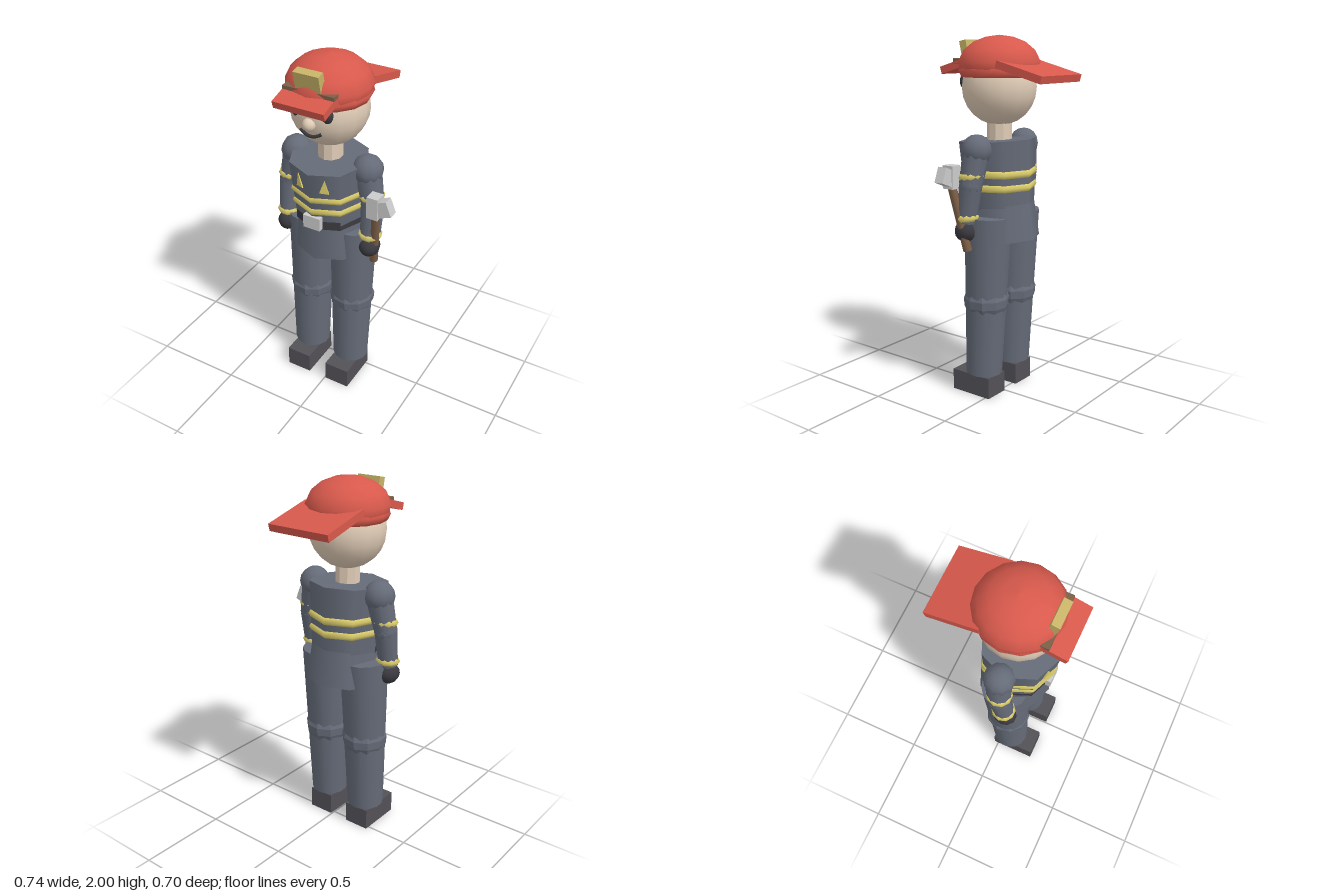
import * as THREE from 'three';

const material = (color, flatShading = false) =>
  new THREE.MeshStandardMaterial({ color, flatShading });
const slate = material(0x656b78), slateFlat = material(0x656b78, true);
const dark = material(0x3a3a40, true), glove = material(0x3a3a40), boot = material(0x535157);
const yellow = material(0xdccd6c), red = material(0xd8594c), skin = material(0xe0ccb6);
const skinFlat = material(0xe0ccb6, true), brown = material(0x7d6048), silver = material(0xc4c4c8);
const badgeColor = material(0xc8b468);

const CX = -0.05; // body centre line
const CZ = 0.05;

export function createModel() {
  const group = new THREE.Group();

  const add = (name, geometry, mat, x, y, z) => {
    const mesh = new THREE.Mesh(geometry, mat);
    mesh.name = name;
    mesh.position.set(x, y, z);
    group.add(mesh);
    return mesh;
  };
  const box = (name, w, h, d, mat, x, y, z) =>
    add(name, new THREE.BoxGeometry(w, h, d), mat, x, y, z);
  const ball = (name, r, mat, x, y, z, w = 12, h = 10) =>
    add(name, new THREE.SphereGeometry(r, w, h), mat, x, y, z);
  const drum = (name, top, bottom, h, sides, mat, x, y, z) =>
    add(name, new THREE.CylinderGeometry(top, bottom, h, sides), mat, x, y, z);
  // tapered limb between two points
  const limb = (name, a, b, ra, rb, sides, mat) => {
    const from = new THREE.Vector3(...a), to = new THREE.Vector3(...b);
    const dir = from.clone().sub(to);
    const mid = from.clone().add(to).multiplyScalar(0.5);
    const mesh = drum(name, ra, rb, dir.length(), sides, mat, mid.x, mid.y, mid.z);
    mesh.quaternion.setFromUnitVectors(new THREE.Vector3(0, 1, 0), dir.normalize());
    return mesh;
  };

  // head and face
  ball('head', 0.205, skin, CX, 1.725, CZ, 16, 12);
  ball('nose', 0.035, skin, CX, 1.70, 0.25);
  for (const side of [-1, 1]) {
    ball('eye', 0.036, glove, CX + side * 0.085, 1.755, 0.222).scale.set(0.92, 1.15, 0.7);
  }
  const smile = new THREE.QuadraticBezierCurve3(
    new THREE.Vector3(CX - 0.06, 1.655, 0.232),
    new THREE.Vector3(CX, 1.612, 0.252),
    new THREE.Vector3(CX + 0.06, 1.655, 0.232));
  add('mouth', new THREE.TubeGeometry(smile, 8, 0.009, 5), glove, 0, 0, 0);
  drum('neck', 0.068, 0.068, 0.14, 10, skinFlat, CX, 1.48, CZ);

  // helmet: dome, uneven rim, sloping brims, badge
  const domeProfile = [
    [0, 1.785], [0.2, 1.785], [0.215, 1.815], [0.224, 1.86], [0.195, 1.92],
    [0.14, 1.965], [0.075, 1.99], [0, 2.0],
  ].map(([r, y]) => new THREE.Vector2(r, y));
  add('helmetDome', new THREE.LatheGeometry(domeProfile, 16), red, CX, 0, CZ);
  const rim = add('helmetRim', new THREE.TorusGeometry(0.19, 0.033, 6, 14), red, CX, 1.813, CZ);
  rim.rotation.x = Math.PI / 2;
  rim.scale.z = 1.15;
  box('rearBrim', 0.376, 0.04, 0.29, red, CX, 1.814, -0.205).rotation.x = -0.26;
  box('frontBrim', 0.287, 0.04, 0.17, red, CX, 1.835, 0.262).rotation.x = 0.28;
  box('badgeBase', 0.287, 0.03, 0.06, brown, CX, 1.862, 0.226);
  box('badge', 0.142, 0.11, 0.045, badgeColor, CX, 1.918, 0.238).rotation.x = 0.22;

  // jacket
  drum('torso', 0.213, 0.19, 0.36, 8, slate, CX, 1.262, 0.054).rotation.x = 0.06;
  drum('jacketSkirt', 0.185, 0.208, 0.22, 8, slate, CX, 1.005, 0.035).rotation.x = 0.06;
  for (const [y, r, z] of [[1.27, 0.208, 0.054], [1.195, 0.203, 0.051]]) {
    const band = add('torsoBand', new THREE.TorusGeometry(r - 0.017, 0.023, 6, 8), yellow, CX, y, z);
    band.rotation.x = Math.PI / 2;
  }
  drum('belt', 0.19, 0.19, 0.09, 8, dark, CX, 1.125, CZ);
  box('buckle', 0.1, 0.075, 0.03, silver, CX, 1.127, 0.24);

  // collar tabs, lying on the slanted front faces
  for (const side of [-1, 1]) {
    const tab = new THREE.Shape([
      new THREE.Vector2(side * 0.012, 0.042),
      new THREE.Vector2(side * 0.032, -0.042),
      new THREE.Vector2(side * -0.018, -0.036),
    ]);
    const mesh = add('collarTab', new THREE.ExtrudeGeometry(tab, { depth: 0.02, bevelEnabled: false }),
      yellow, CX + side * 0.06, 1.362, 0.229);
    mesh.rotation.set(0.06, side * 0.39, 0);
  }

  for (const side of [-1, 1]) {
    const at = (offset) => CX + side * offset;

    // arm
    const shoulder = [at(0.215), 1.405, 0.04];
    const elbow = [at(0.253), 1.22, 0.052];
    const wrist = [at(0.256), 1.02, 0.08];
    ball('shoulder', 0.084, slate, ...shoulder, 10, 8);
    limb('upperArm', shoulder, elbow, 0.074, 0.063, 10, slate);
    ball('elbow', 0.063, slate, ...elbow, 10, 8);
    limb('forearm', elbow, wrist, 0.063, 0.054, 10, slate);
    ball('glove', 0.058, glove, at(0.257), 0.968, 0.085, 10, 8).scale.z = 1.12;
    for (const [x, y, z, r] of [[0.247, 1.268, 0.052, 0.05], [0.255, 1.043, 0.076, 0.045]]) {
      const band = add('sleeveBand', new THREE.TorusGeometry(r, 0.021, 6, 10), yellow, at(x), y, z);
      band.rotation.x = Math.PI / 2 + 0.1;
    }

    // leg, ridged knee pad and boot
    limb('leg', [at(0.13), 1.04, 0.03], [at(0.1325), 0.13, 0.061], 0.132, 0.103, 14, slate);
    const padProfile = [[0.108, -0.06], [0.123, -0.025], [0.127, 0.02], [0.113, 0.055]]
      .map(([r, y]) => new THREE.Vector2(r, y));
    const pad = add('kneePad', new THREE.LatheGeometry(padProfile, 10), slateFlat, at(0.131), 0.553, 0.044);
    pad.rotation.y = 0.15;
    box('boot', 0.148, 0.12, 0.255, boot, at(0.13), 0.06, 0.103);
  }

  // axe in the left hand
  limb('axeHandle', [0.268, 1.25, 0.137], [0.222, 0.865, 0.06], 0.024, 0.024, 8, brown);
  box('axeHead', 0.064, 0.125, 0.068, silver, 0.26, 1.266, 0.136);
  box('axeBlade', 0.1, 0.086, 0.056, silver, 0.303, 1.268, 0.135).rotation.z = 0.38;

  return group;
}
